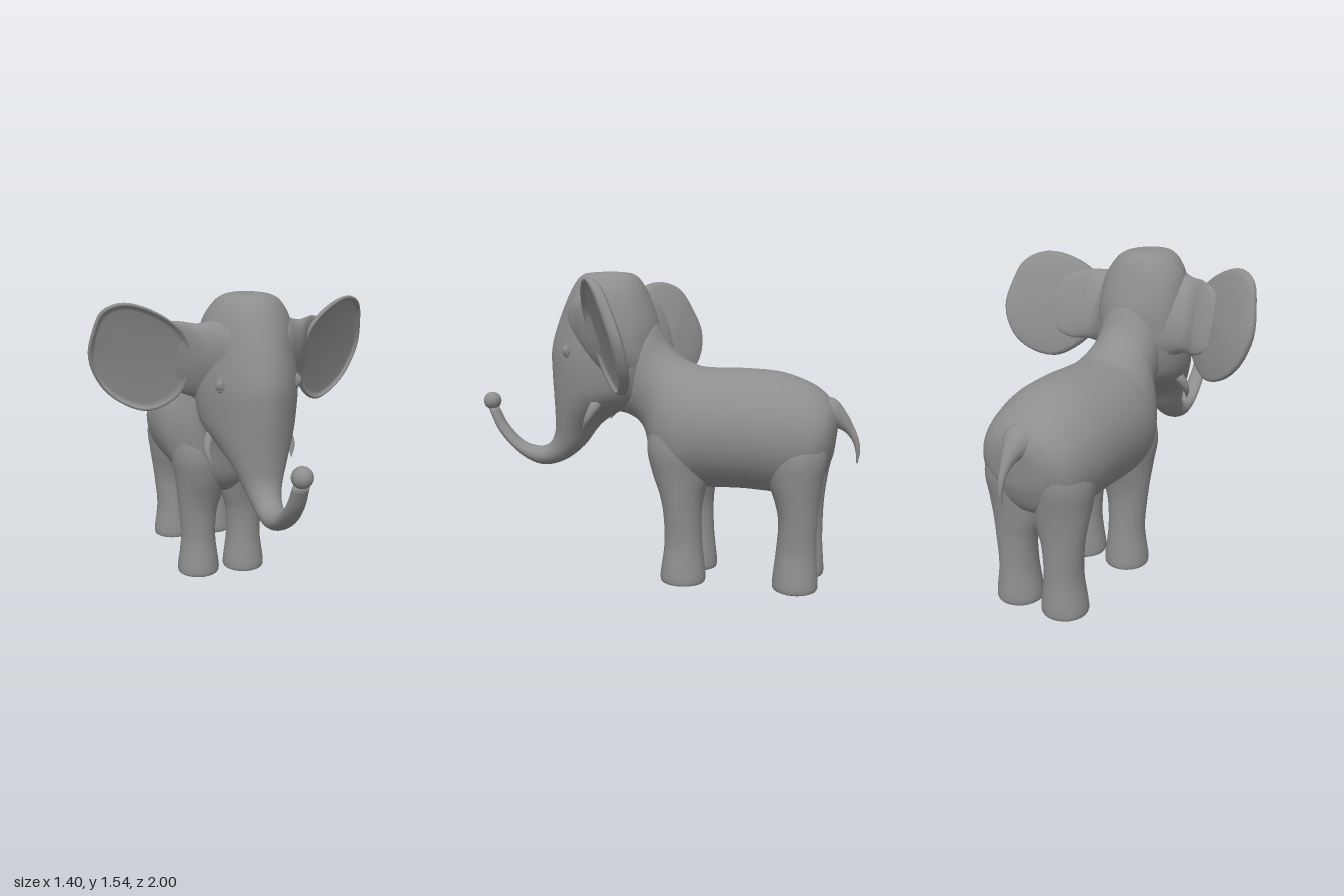
import * as THREE from 'three';

const V = (x, y, z) => new THREE.Vector3(x, y, z);
const material = new THREE.MeshStandardMaterial({ color: 0x8e8e8e });

// Closed smooth skin over a list of equal rings, capped at both ends and facing outwards
function skin(rings) {
  const n = rings[0].length, pts = rings.flat(), idx = [];
  const mean = (r) => r.reduce((s, p) => s.add(p), V(0, 0, 0)).divideScalar(n);
  for (let i = 0; i < rings.length - 1; i++) {
    for (let j = 0; j < n; j++) {
      const a = i * n + j, b = i * n + (j + 1) % n;
      idx.push(a, b, a + n, b, b + n, a + n);
    }
  }
  const start = pts.length, last = (rings.length - 1) * n;
  pts.push(mean(rings[0]), mean(rings[rings.length - 1]));
  for (let j = 0; j < n; j++) {
    const k = (j + 1) % n;
    idx.push(start, k, j, start + 1, last + j, last + k);
  }
  let volume = 0;
  const centre = mean(rings[rings.length >> 1]);
  for (let i = 0; i < idx.length; i += 3) {
    const [a, b, c] = [0, 1, 2].map((k) => pts[idx[i + k]].clone().sub(centre));
    volume += a.dot(b.cross(c));
  }
  if (volume < 0) idx.reverse();
  const g = new THREE.BufferGeometry().setFromPoints(pts);
  g.setIndex(idx);
  g.computeVertexNormals();
  return g;
}

// Oval sections {c: centre, u, v: half axes, k: narrowing towards u}, eased into each other
function loft(sections, n = 32, steps = 5) {
  const spline = (key) => new THREE.CatmullRomCurve3(sections.map((s) => s[key]), false, 'catmullrom', 0.5);
  const [C, U, W] = ['c', 'u', 'v'].map(spline);
  const count = (sections.length - 1) * steps, rings = [];
  for (let i = 0; i <= count; i++) {
    const t = i / count, f = t * (sections.length - 1), s0 = Math.min(Math.floor(f), sections.length - 2);
    const k = THREE.MathUtils.lerp(sections[s0].k || 0, sections[s0 + 1].k || 0, f - s0);
    const c = C.getPoint(t), u = U.getPoint(t), v = W.getPoint(t);
    rings.push(Array.from({ length: n }, (_, j) => {
      const a = j / n * Math.PI * 2;
      return c.clone().addScaledVector(u, Math.cos(a)).addScaledVector(v, Math.sin(a) * (1 - k * Math.cos(a)));
    }));
  }
  return skin(rings);
}

// Section on the centre plane: edge z, y / opposite edge z, y / half width
const section = ([z1, y1, z2, y2, w, k]) => ({
  c: V(0, (y1 + y2) / 2, (z1 + z2) / 2), u: V(0, (y1 - y2) / 2, (z1 - z2) / 2), v: V(w, 0, 0), k,
});

// Tapering horn along points [x, y, z, radius]
function horn(points, n = 16) {
  return loft(points.map(([x, y, z, r], i) => {
    const a = points[Math.max(i - 1, 0)], b = points[Math.min(i + 1, points.length - 1)];
    const u = V(0, b[2] - a[2], a[1] - b[1]).setLength(r);
    return { c: V(x, y, z), u, v: V(r, 0, 0) };
  }), n);
}

// Leg rows: y, front z, back z, inner x, outer x
function leg(rows, s) {
  return loft(rows.map(([y, z1, z2, x1, x2]) => ({
    c: V(s * (x1 + x2) / 2, y, (z1 + z2) / 2), u: V(0, 0, (z1 - z2) / 2), v: V((x2 - x1) / 2, 0, 0),
  })), 24);
}

// Dished ear disc with a rounded rim, leaning back towards its tip
function ear(s) {
  const outline = new THREE.CatmullRomCurve3([
    [0.30, 1.36], [0.41, 1.46], [0.555, 1.505], [0.645, 1.465], [0.685, 1.36], [0.70, 1.23],
    [0.645, 1.09], [0.56, 1.01], [0.45, 0.973], [0.37, 1.005], [0.3, 1.08], [0.275, 1.2],
  ].map(([x, y]) => V(x, y, 0)), true).getPoints(48).slice(0, -1);
  const profile = [[0.05, -0.03], [0.5, -0.028], [0.86, -0.022], [0.92, -0.016], [0.945, -0.004],
    [0.97, 0.004], [0.995, -0.006], [1, -0.022], [0.98, -0.042], [0.92, -0.056], [0.6, -0.075], [0.05, -0.085]];
  return skin(profile.map(([k, d]) => outline.map((p) => {
    const x = 0.49 + (p.x - 0.49) * k, y = 1.245 + (p.y - 1.245) * k;
    return V(s * x, y, 0.005 + 0.62 * (0.7 - x) + 0.33 * (y - 1.23) + d);
  })));
}

// Ear root flaring out of the head and sinking into the back of the ear; rows: x, low y, high y, centre z, half thickness
const earRoot = (s) => loft([
  [0.06, 0.98, 1.47, 0.24, 0.21], [0.14, 1.0, 1.45, 0.245, 0.185], [0.20, 1.03, 1.425, 0.24, 0.135],
  [0.25, 1.055, 1.415, 0.23, 0.095], [0.30, 1.07, 1.42, 0.195, 0.06], [0.35, 1.075, 1.42, 0.15, 0.042],
  [0.41, 1.1, 1.4, 0.117, 0.026], [0.5, 1.17, 1.33, 0.085, 0.008],
].map(([x, y1, y2, z, t]) => ({
  c: V(s * x, (y1 + y2) / 2, z), u: V(0, (y2 - y1) / 2, 0.165 * (y2 - y1)), v: V(0, 0, t),
})), 28);

export function createModel() {
  const model = new THREE.Group();
  const add = (name, geometry) => {
    const mesh = new THREE.Mesh(geometry, material);
    mesh.name = name;
    model.add(mesh);
    return mesh;
  };

  // Rump, barrel, chest and neck
  add('body', loft([
    [-0.893, 0.85, -0.887, 0.79, 0.04], [-0.878, 0.895, -0.88, 0.72, 0.11], [-0.845, 0.945, -0.862, 0.63, 0.185],
    [-0.77, 1.005, -0.80, 0.52, 0.25],
    [-0.62, 1.06, -0.65, 0.475, 0.29], [-0.45, 1.075, -0.45, 0.48, 0.3], [-0.28, 1.075, -0.26, 0.475, 0.297],
    [-0.19, 1.085, -0.10, 0.47, 0.275], [-0.10, 1.13, 0.01, 0.57, 0.228], [-0.03, 1.2, 0.07, 0.75, 0.175],
    [0.04, 1.32, 0.15, 0.82, 0.165], [0.15, 1.4, 0.25, 0.84, 0.14],
  ].map(section), 40));

  // Domed head running down into the curled trunk
  add('headAndTrunk', loft([
    [0.34, 1.545, 0.2, 1.545, 0.05, 0], [0.40, 1.535, 0.145, 1.535, 0.108, 0], [0.438, 1.5, 0.105, 1.5, 0.158, 0.05],
    [0.485, 1.42, 0.06, 1.41, 0.205, 0.15], [0.54, 1.3, 0.01, 1.25, 0.225, 0.22], [0.582, 1.16, 0.02, 1.06, 0.236, 0.25],
    [0.583, 1.03, 0.08, 0.91, 0.218, 0.25], [0.575, 0.92, 0.22, 0.835, 0.177, 0.2], [0.57, 0.8, 0.33, 0.76, 0.13, 0.1],
    [0.575, 0.72, 0.42, 0.645, 0.09], [0.61, 0.655, 0.53, 0.562, 0.066], [0.68, 0.63, 0.66, 0.532, 0.058],
    [0.78, 0.655, 0.79, 0.587, 0.05], [0.87, 0.74, 0.905, 0.695, 0.042], [0.92, 0.83, 0.97, 0.82, 0.037],
  ].map(section)));
  const tip = add('trunkTip', new THREE.SphereGeometry(0.047, 20, 14));
  tip.position.set(0, 0.865, 0.953);

  add('tail', horn([
    [0, 0.87, -0.76, 0.07], [0, 0.865, -0.85, 0.08], [0, 0.835, -0.905, 0.045], [0, 0.795, -0.945, 0.025],
    [0, 0.745, -0.975, 0.016], [0, 0.69, -0.988, 0.011], [0, 0.63, -0.986, 0.003],
  ]));

  for (const [side, s] of [['left', 1], ['right', -1]]) {
    add(side + 'FrontLeg', leg([
      [0.004, -0.065, -0.255, 0.035, 0.22], [0.03, -0.045, -0.272, 0.016, 0.24], [0.2, -0.065, -0.255, 0.035, 0.22],
      [0.35, -0.06, -0.25, 0.028, 0.23], [0.45, -0.038, -0.262, 0.0, 0.24], [0.55, -0.003, -0.29, -0.01, 0.25],
      [0.68, 0.022, -0.31, 0, 0.265], [0.82, 0.0, -0.28, 0.03, 0.235], [0.92, -0.06, -0.23, 0.06, 0.16],
    ], s));
    add(side + 'HindLeg', leg([
      [0.015, -0.63, -0.81, 0.035, 0.22], [0.042, -0.61, -0.83, 0.016, 0.24], [0.2, -0.625, -0.82, 0.035, 0.22],
      [0.35, -0.635, -0.82, 0.028, 0.23], [0.45, -0.615, -0.827, 0.0, 0.243], [0.55, -0.58, -0.84, -0.01, 0.258],
      [0.68, -0.55, -0.86, 0, 0.268], [0.82, -0.56, -0.845, 0.03, 0.225], [0.92, -0.6, -0.78, 0.06, 0.15],
    ], s));
    add(side + 'Ear', ear(s));
    add(side + 'EarRoot', earRoot(s));
    add(side + 'Tusk', horn([
      [s * 0.155, 0.93, 0.27, 0.03], [s * 0.19, 0.88, 0.285, 0.027],
      [s * 0.21, 0.82, 0.315, 0.017], [s * 0.2, 0.765, 0.345, 0.003],
    ]));

    // Eyeball inside a raised lid
    const eye = new THREE.Group();
    eye.name = side + 'Eye';
    const ball = new THREE.Mesh(new THREE.SphereGeometry(0.019, 16, 12), material);
    const lid = new THREE.Mesh(new THREE.TorusGeometry(0.02, 0.006, 8, 20), material);
    ball.name = 'eyeball';
    lid.name = 'eyelid';
    eye.add(ball, lid);
    eye.position.set(s * 0.186, 1.155, 0.434);
    eye.rotation.y = s * 0.95;
    eye.scale.y = 1.4;
    model.add(eye);
  }
  return model;
}
